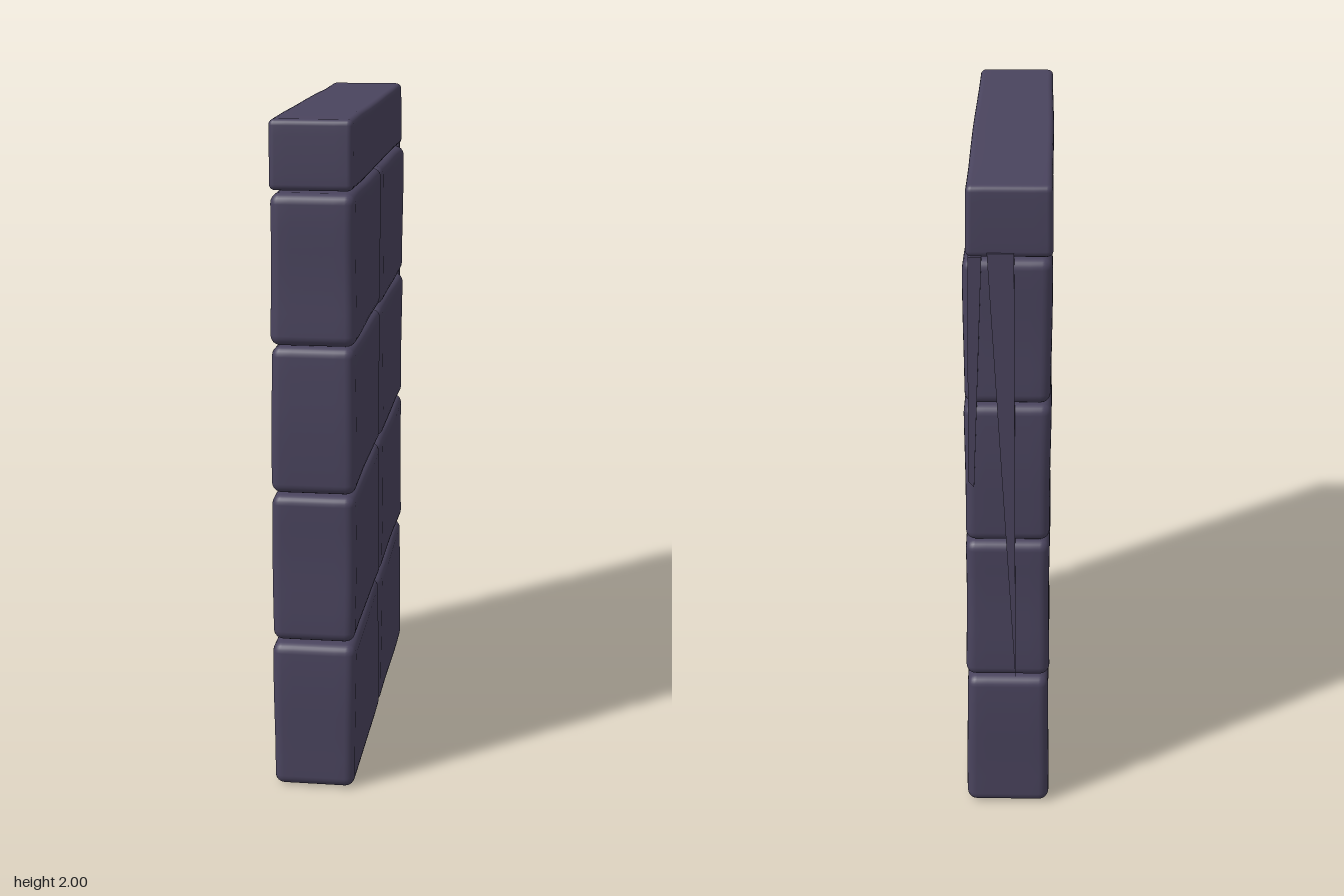
import * as THREE from 'three';
import { mergeVertices } from 'three/addons/utils/BufferGeometryUtils.js';

const SEG = 12, EDGE = 3; // grid cells per side, and how many of them round each edge

// Worn stone block given by its min and max corners
function stoneGeometry(min, max, radius, wear, seed) {
  const size = max.map((v, i) => v - min[i]);
  const mid = max.map((v, i) => (v + min[i]) / 2);
  const geo = new THREE.BoxGeometry(1, 1, 1, SEG, SEG, SEG);
  const pos = geo.attributes.position;
  const p = new THREE.Vector3(), core = new THREE.Vector3();

  // crowd the grid lines into the rounded edges
  const spread = (t, len) => {
    const k = (t + 0.5) * SEG;
    if (k < EDGE) return -len / 2 + (k / EDGE) * radius;
    if (k > SEG - EDGE) return len / 2 - ((SEG - k) / EDGE) * radius;
    return -len / 2 + radius + ((k - EDGE) / (SEG - 2 * EDGE)) * (len - 2 * radius);
  };

  for (let i = 0; i < pos.count; i++) {
    p.set(spread(pos.getX(i), size[0]), spread(pos.getY(i), size[1]), spread(pos.getZ(i), size[2]));
    const inner = size.map((s) => s / 2 - radius);
    core.set(
      THREE.MathUtils.clamp(p.x, -inner[0], inner[0]),
      THREE.MathUtils.clamp(p.y, -inner[1], inner[1]),
      THREE.MathUtils.clamp(p.z, -inner[2], inner[2]));
    p.sub(core).setLength(radius).add(core);
    // gentle uneven wear, always inwards
    const wy = wear * (0.5 + 0.5 * Math.sin(p.z * 13 + seed * 2.1));
    const wx = wear * (0.5 + 0.5 * Math.sin(p.y * 9 + p.z * 6 + seed * 1.3));
    const wz = wear * (0.5 + 0.5 * Math.sin(p.y * 14 + seed * 3.7));
    p.x *= 1 - wx / size[0];
    p.y *= 1 - wy / size[1];
    p.z *= 1 - wz / size[2];
    pos.setXYZ(i, p.x + mid[0], p.y + mid[1], p.z + mid[2]);
  }
  geo.deleteAttribute('uv');
  geo.deleteAttribute('normal');
  const merged = mergeVertices(geo, 1e-5);
  merged.computeVertexNormals();
  return merged;
}

export function createModel() {
  const model = new THREE.Group();
  model.name = 'stoneWall';
  const stone = new THREE.MeshStandardMaterial({ color: 0x4a445e });
  stone.name = 'dark violet stone';

  const add = (name, geo) => {
    const mesh = new THREE.Mesh(geo, stone);
    mesh.name = name;
    model.add(mesh);
    return mesh;
  };

  // four courses of two blocks
  const courses = [[0, 0.455], [0.46, 0.915], [0.915, 1.352], [1.352, 1.792]];
  courses.forEach(([y0, y1], row) => {
    add(`frontBlock${row + 1}`,
      stoneGeometry([-0.127, y0, 0.006], [0.122, y1, 0.665], 0.03, 0.008, row + 1));
    add(`backBlock${row + 1}`,
      stoneGeometry([-0.127, y0, -0.655], [0.125, y1, 0.002], 0.03, 0.008, row + 6));
  });

  // long capping stone
  add('capStone', stoneGeometry([-0.128, 1.795, -0.657], [0.116, 2, 0.663], 0.018, 0.006, 3));

  // splintered shards on the back end, tapering downwards
  const shard = (name, points) => {
    const shape = new THREE.Shape(points.map(([x, y]) => new THREE.Vector2(x, y)));
    const geo = new THREE.ExtrudeGeometry(shape, { depth: 0.025, bevelEnabled: false });
    add(name, geo).position.z = -0.662;
  };
  shard('longShard', [[-0.02, 1.81], [-0.025, 0.45], [0.055, 1.81]]);
  shard('shortShard', [[0.07, 1.8], [0.095, 1.1], [0.112, 1.12], [0.108, 1.8]]);

  return model;
}
